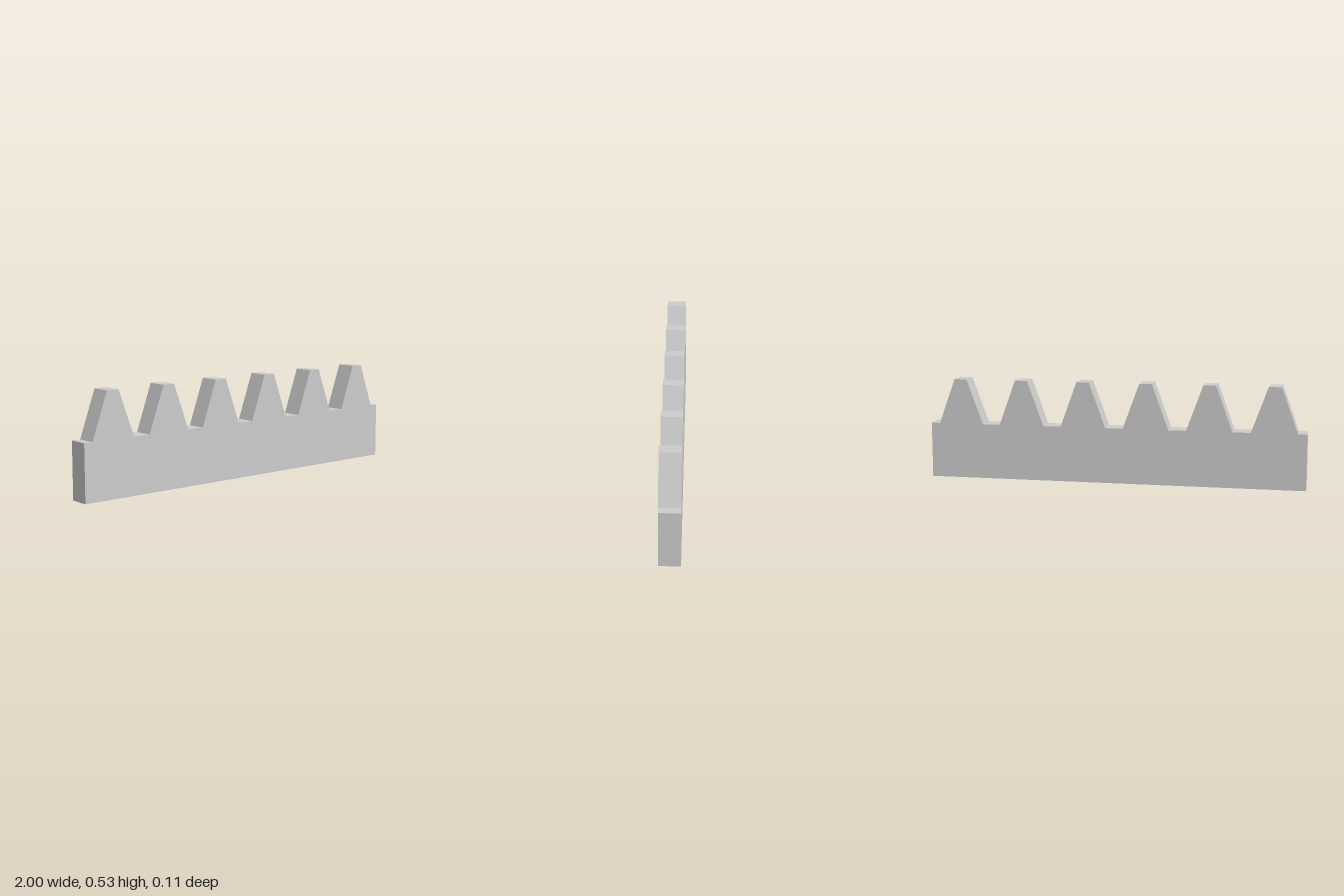
import * as THREE from 'three';

const TEETH = 6;
const PITCH = 2 / TEETH;
const ROOT_Y = 0.293;      // height of the bar between teeth
const TIP_Y = 0.532;       // height of the tooth tips
const ROOT_HALF = 0.12;    // half width of a tooth at its root
const TIP_HALF = 0.033;    // half width of a tooth at its tip
const DEPTH = 0.106;

export function createModel() {
  const group = new THREE.Group();
  group.name = 'gearRack';

  // Outline of the bar, with trapezoid teeth along its top edge
  const outline = new THREE.Shape();
  outline.moveTo(-1, 0);
  outline.lineTo(1, 0);
  outline.lineTo(1, ROOT_Y);
  for (let i = TEETH - 1; i >= 0; i--) {
    const x = -1 + (i + 0.5) * PITCH;
    outline.lineTo(x + ROOT_HALF, ROOT_Y);
    outline.lineTo(x + TIP_HALF, TIP_Y);
    outline.lineTo(x - TIP_HALF, TIP_Y);
    outline.lineTo(x - ROOT_HALF, ROOT_Y);
  }
  outline.lineTo(-1, ROOT_Y);
  outline.closePath();

  // Extruded and centred on z
  const geometry = new THREE.ExtrudeGeometry(outline, { depth: DEPTH, bevelEnabled: false });
  geometry.translate(0, 0, -DEPTH / 2);

  const material = new THREE.MeshStandardMaterial({ color: 0xcccccc, flatShading: true });
  const rack = new THREE.Mesh(geometry, material);
  rack.name = 'toothedBar';
  group.add(rack);
  return group;
}
